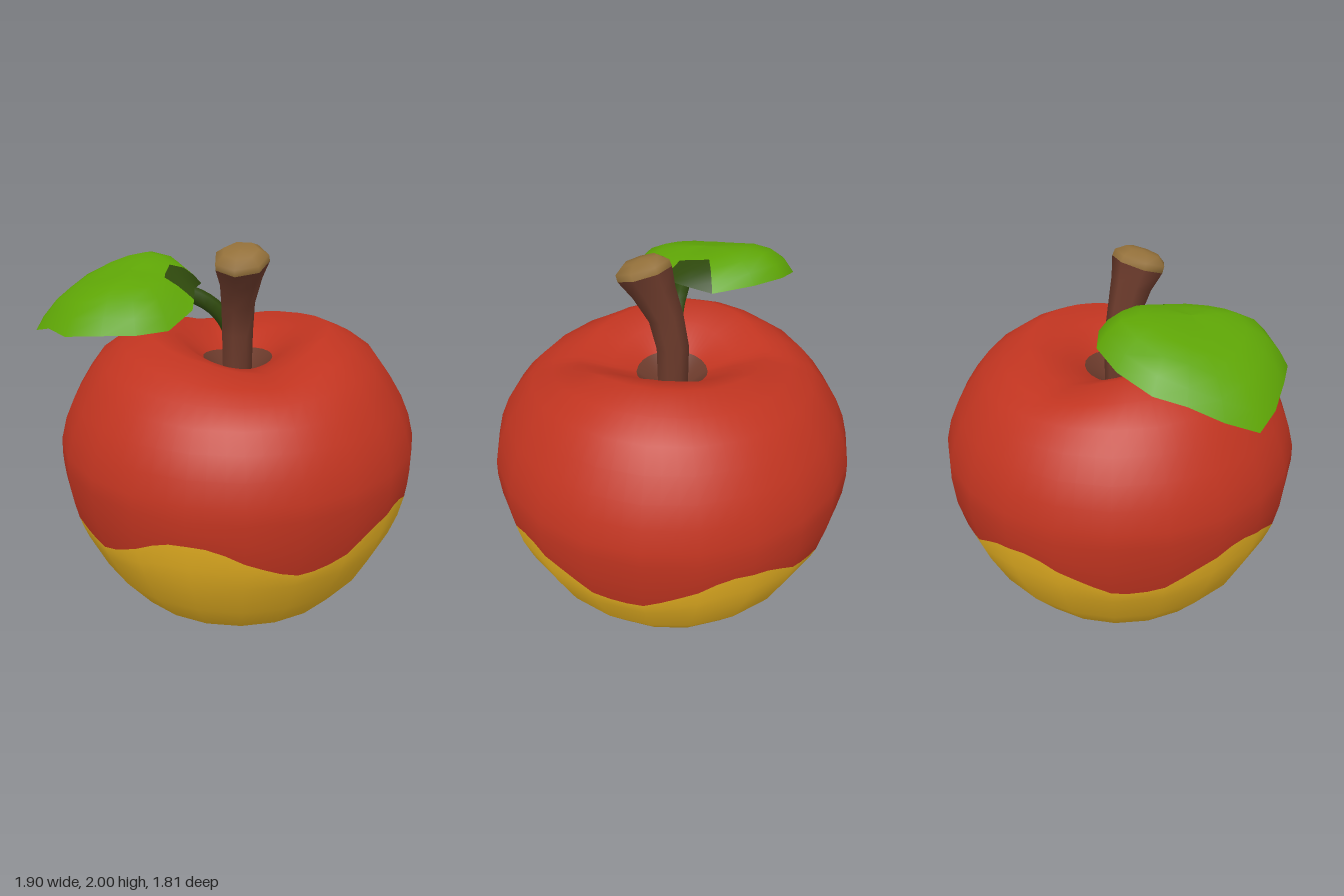
import * as THREE from 'three';

const mat = (name, color) => {
  const m = new THREE.MeshStandardMaterial({ color });
  m.name = name;
  return m;
};

// Skin over rows of points (rows closed into loops); pick(i, j) gives the material index.
function skin(name, rows, materials, pick = () => 0) {
  const n = rows[0].length;
  const faces = materials.map(() => []);
  for (let i = 0; i < rows.length - 1; i++) {
    for (let j = 0; j < n; j++) {
      const k = (j + 1) % n;
      const a = i * n + j, b = i * n + k, c = b + n, d = a + n;
      faces[pick(i, j)].push(a, b, c, a, c, d);
    }
  }
  const geo = new THREE.BufferGeometry().setFromPoints(rows.flat());
  geo.setIndex(faces.flat());
  let start = 0;
  faces.forEach((f, m) => {
    geo.addGroup(start, f.length, m);
    start += f.length;
  });
  geo.computeVertexNormals();
  const mesh = new THREE.Mesh(geo, materials);
  mesh.name = name;
  return mesh;
}

// Linear lookup in a list of [key, value] pairs
function lookup(table, key) {
  for (let i = 1; i < table.length; i++) {
    const [k0, v0] = table[i - 1], [k1, v1] = table[i];
    if (key <= k1) return v0 + (v1 - v0) * Math.max(0, (key - k0) / (k1 - k0));
  }
  return table[table.length - 1][1];
}

// Fruit: turned profile with a wavy colour border and a pit on top
function makeFruit(red, yellow, brown) {
  const SIDES = 22, SUB = 3, N = SIDES * SUB;
  const lower = [[0.002, 0], [0.22, 0.03], [0.42, 0.1], [0.6, 0.22], [0.74, 0.4], [0.83, 0.59]];
  const belly = [[0.59, 0.83], [0.68, 0.863], [0.76, 0.884], [0.85, 0.898], [0.94, 0.904]];
  const upper = [[0.904, 0.96], [0.9, 1.04], [0.87, 1.15], [0.825, 1.25], [0.76, 1.355],
    [0.685, 1.455], [0.58, 1.53], [0.45, 1.588], [0.3, 1.54], [0.175, 1.44], [0.04, 1.3]];
  // The rim sags to the front and back, and is cut by a narrow groove
  const sag = [[0.175, 0], [0.3, 0.05], [0.45, 0.07], [0.6, 0.07], [0.69, 0.045], [0.82, 0]];
  const groove = [[0.175, 0.03], [0.3, 0.06], [0.45, 0.055], [0.58, 0.02], [0.68, 0]];
  const topDrop = (r, a) => {
    const c = Math.cos(a - 0.25), aside = Math.abs(Math.sin(a - 0.6)) * r;
    return lookup(sag, r) * c * c * (c > 0 ? 1 : 0.6)
      + lookup(groove, r) * Math.max(0, 1 - aside / 0.3);
  };
  const angle = j => j / N * Math.PI * 2;
  const ring = at => Array.from({ length: N }, (_, j) => {
    const [r, y] = at(angle(j));
    return new THREE.Vector3(Math.sin(angle(j)) * r, y, Math.cos(angle(j)) * r);
  });
  const border = a => 0.752 + 0.092 * Math.cos(5 * a);
  const bellyRing = height => ring(a => [lookup(belly, height(a)), height(a)]);
  const rows = [
    ...lower.map(p => ring(() => p)),
    bellyRing(a => (0.59 + border(a)) / 2),
    bellyRing(border),
    bellyRing(a => (0.96 + border(a)) / 2),
    ...upper.map(([r, y]) => ring(a => [r, y > 1.3 && r > 0.1 ? y - topDrop(r, a) : y])),
  ];
  const last = rows.length - 2;
  const fruit = skin('fruit', rows, [yellow, red, brown],
    i => (i <= lower.length ? 0 : i === last ? 2 : 1));
  // Straight sides between the corners, keeping the smooth normals
  const p = fruit.geometry.attributes.position;
  for (let v = 0; v < p.count; v++) {
    const off = angle(v % SUB) - Math.PI / SIDES;
    const f = Math.cos(Math.PI / SIDES) / Math.cos(off);
    p.setX(v, p.getX(v) * f);
    p.setZ(v, p.getZ(v) * f);
  }
  fruit.position.x = 0.055;
  return fruit;
}

// Rings of the stem: [x, y, z, radius, tilt towards the front]
const stemRings = list => list.map(([x, y, z, r, tilt]) =>
  Array.from({ length: 7 }, (_, j) => {
    const a = j / 7 * Math.PI * 2;
    return new THREE.Vector3(Math.sin(a) * r, 0, Math.cos(a) * r)
      .applyAxisAngle(new THREE.Vector3(1, 0, 0), tilt)
      .add(new THREE.Vector3(x, y, z));
  }));

// Leaf: blade with drooping side edges and a dark patch where the stalk joins
function makeLeaf(green, darkGreen) {
  const outline = [[-0.95, 0.2], [-0.88, 0.31], [-0.75, 0.43], [-0.62, 0.53], [-0.43, 0.56],
    [-0.28, 0.52], [-0.16, 0.42], [-0.1, 0.25], [-0.11, 0.19], [-0.13, 0.12], [-0.14, 0.04],
    [-0.16, -0.09], [-0.3, -0.24], [-0.46, -0.31], [-0.63, -0.29], [-0.78, -0.2],
    [-0.85, -0.08], [-0.92, 0.05]];
  const midrib = [[-0.95, 1.57], [-0.87, 1.68], [-0.75, 1.775], [-0.6, 1.83], [-0.42, 1.865],
    [-0.25, 1.84], [-0.1, 1.77]];
  const cx = -0.45, cz = 0.13;
  const ring = (s, thick) => outline.map(([ox, oz]) => {
    const x = cx + (ox - cx) * s, t = (oz - cz) * s;
    const droop = 0.16 * s ** 5 * Math.abs(oz - cz) / 0.43;
    const slope = t < 0 ? 0.21 : 0.13;
    const y = lookup(midrib, x) - slope * t - droop - thick * (1 - s ** 3);
    return new THREE.Vector3(x, y, cz + t);
  });
  const steps = [0.002, 0.3, 0.55, 0.75, 0.9, 1];
  const dark = j => j >= 8 && j <= 10;
  const leaf = new THREE.Group();
  leaf.name = 'leaf';
  leaf.add(
    skin('leafTop', [...steps].reverse().map(s => ring(s, 0)), [green, darkGreen],
      (i, j) => (dark(j) && i < 3 ? 1 : 0)),
    skin('leafUnderside', steps.map(s => ring(s, 0.04)), [green, darkGreen],
      (i, j) => (dark(j) && i > 1 ? 1 : 0)),
  );
  return leaf;
}

export function createModel() {
  const red = mat('red skin', 0xc03420);
  const yellow = mat('yellow skin', 0xe8b222);
  const brown = mat('stem brown', 0x6b3a2b);
  const tan = mat('cut wood', 0x93703a);
  const green = mat('leaf green', 0x5ea506);
  const darkGreen = mat('stalk green', 0x2e480c);

  const model = new THREE.Group();
  model.name = 'apple';
  model.add(makeFruit(red, yellow, brown));

  // Stem leaning forward, with a pale cut end
  model.add(skin('stem', stemRings([
    [0.05, 1.28, 0, 0.075, 0], [0.05, 1.55, 0, 0.08, 0.05], [0.06, 1.7, 0.03, 0.085, 0.25],
    [0.085, 1.83, 0.08, 0.105, 0.33], [0.1, 1.915, 0.118, 0.132, 0.33],
  ]), [brown]));
  model.add(skin('stemEnd', stemRings([
    [0.1, 1.915, 0.118, 0.132, 0.33], [0.1, 1.945, 0.13, 0.13, 0.33],
    [0.1, 1.975, 0.14, 0.085, 0.33], [0.1, 1.98, 0.145, 0.002, 0.33],
  ]), [tan]));

  // Leaf and its curved stalk
  model.add(makeLeaf(green, darkGreen));
  const path = new THREE.CatmullRomCurve3([[0.03, 1.54, 0.01], [-0.02, 1.64, 0.03],
    [-0.09, 1.71, 0.06], [-0.2, 1.765, 0.1]].map(p => new THREE.Vector3(...p)));
  const stalk = new THREE.Mesh(new THREE.TubeGeometry(path, 8, 0.04, 6), darkGreen);
  stalk.name = 'leafStalk';
  model.add(stalk);
  return model;
}
